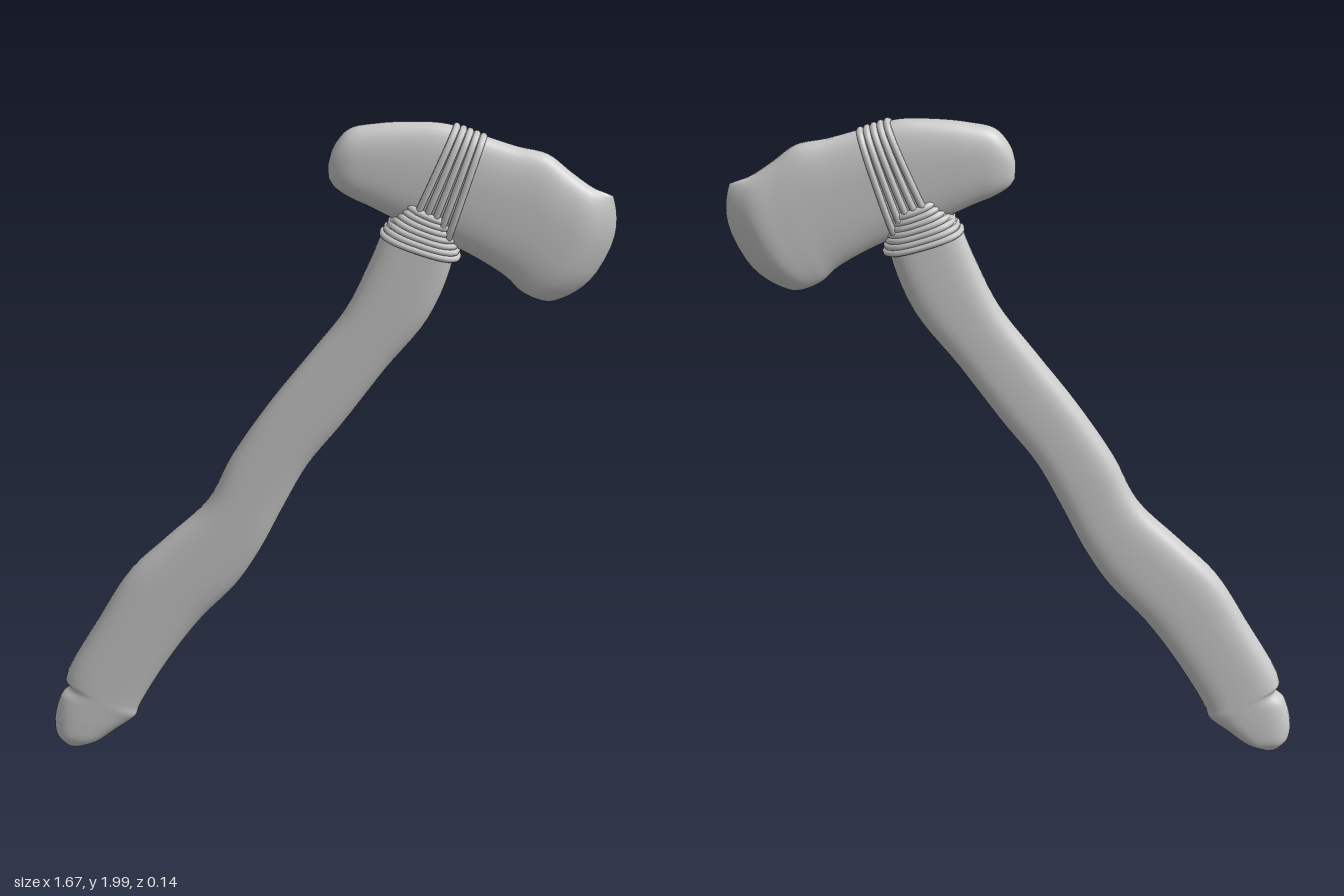
import * as THREE from 'three';

const material = new THREE.MeshStandardMaterial({ color: 0xcccccc, roughness: 0.8 });
const V = (x, y, z) => new THREE.Vector3(x, y, z);

// point on a rounded oval that spans a-b in the xy plane and +-depth in z
function ovalPoint(a, b, depth, bulge, power, angle) {
  const c = Math.cos(angle), s = Math.sin(angle);
  const soft = (v) => Math.sign(v) * Math.abs(v) ** (2 / power);
  const dx = b.x - a.x, dy = b.y - a.y, len = Math.hypot(dx, dy);
  const k = soft(c) / 2, push = (bulge * s * s) / len;
  return V((a.x + b.x) / 2 + dx * k - dy * push, (a.y + b.y) / 2 + dy * k + dx * push, depth * soft(s));
}

// smooth capped loft; each section is [ax, ay, bx, by, half depth, forward bulge]
function loft(name, sections, power, sides = 36, steps = 5) {
  const curveA = new THREE.CatmullRomCurve3(sections.map((s) => V(s[0], s[1], s[4])));
  const curveB = new THREE.CatmullRomCurve3(sections.map((s) => V(s[2], s[3], s[5] || 0)));
  const rows = (sections.length - 1) * steps;
  const pos = [], index = [];
  for (let r = 0; r <= rows; r++) {
    const a = curveA.getPoint(r / rows), b = curveB.getPoint(r / rows);
    for (let i = 0; i < sides; i++) {
      pos.push(...ovalPoint(a, b, a.z, b.z, power, (i / sides) * Math.PI * 2).toArray());
    }
  }
  for (let r = 0; r < rows; r++) {
    for (let i = 0; i < sides; i++) {
      const p = r * sides + i, q = r * sides + ((i + 1) % sides);
      index.push(p, p + sides, q, q, p + sides, q + sides);
    }
  }
  // end caps, bridged straight across between the front and back halves
  const last = rows * sides;
  for (let i = 0; i < sides / 2; i++) {
    const j = (sides - i) % sides, m = sides - i - 1;
    index.push(i, i + 1, j, j, i + 1, m);
    index.push(last + i, last + j, last + i + 1, last + j, last + m, last + i + 1);
  }
  const geometry = new THREE.BufferGeometry();
  geometry.setAttribute('position', new THREE.Float32BufferAttribute(pos, 3));
  geometry.setIndex(index);
  geometry.computeVertexNormals();
  const mesh = new THREE.Mesh(geometry, material);
  mesh.name = name;
  return mesh;
}

// band of parallel cords, going from the loop a0-b0 to the loop a1-b1
function binding(name, count, [a0, b0], [a1, b1], depth, radius) {
  const group = new THREE.Group();
  group.name = name;
  for (let n = 0; n < count; n++) {
    const t = n / (count - 1);
    const a = a0.clone().lerp(a1, t), b = b0.clone().lerp(b1, t);
    const points = [];
    for (let i = 0; i < 28; i++) points.push(ovalPoint(a, b, depth, 0, 2.5, (i / 28) * Math.PI * 2));
    const path = new THREE.CatmullRomCurve3(points, true);
    const cord = new THREE.Mesh(new THREE.TubeGeometry(path, 72, radius, 8, true), material);
    cord.name = 'cord';
    group.add(cord);
  }
  return group;
}

export function createModel() {
  const model = new THREE.Group();
  model.name = 'stoneAxe';

  // crooked wooden handle, from the butt upwards
  model.add(loft('handle', [
    [-0.795, 0.008, -0.75, 0.003, 0.04],
    [-0.822, 0.035, -0.70, 0.02, 0.054],
    [-0.83, 0.08, -0.645, 0.06, 0.057],
    [-0.812, 0.155, -0.605, 0.088, 0.057],
    [-0.785, 0.185, -0.588, 0.105, 0.057],
    [-0.798, 0.208, -0.58, 0.13, 0.057],
    [-0.70, 0.40, -0.50, 0.27, 0.057],
    [-0.61, 0.55, -0.40, 0.41, 0.057],
    [-0.50, 0.66, -0.29, 0.53, 0.057],
    [-0.38, 0.78, -0.22, 0.64, 0.057],
    [-0.31, 0.92, -0.15, 0.78, 0.057],
    [-0.20, 1.09, -0.08, 0.91, 0.057],
    [-0.08, 1.25, 0.02, 1.04, 0.057],
    [0.03, 1.40, 0.15, 1.22, 0.057],
    [0.10, 1.55, 0.28, 1.39, 0.057],
    [0.15, 1.67, 0.35, 1.57, 0.055],
    [0.21, 1.76, 0.36, 1.69, 0.05],
  ], 3));

  // stone head, from the blunt poll to the sharpened edge
  model.add(loft('head', [
    [-0.02, 1.86, -0.018, 1.81, 0.018],
    [-0.005, 1.91, 0.0, 1.785, 0.038],
    [0.04, 1.965, 0.045, 1.755, 0.052],
    [0.12, 1.985, 0.10, 1.73, 0.055],
    [0.22, 1.995, 0.18, 1.69, 0.055],
    [0.33, 1.993, 0.28, 1.645, 0.055],
    [0.44, 1.96, 0.38, 1.60, 0.055],
    [0.54, 1.93, 0.46, 1.555, 0.055],
    [0.63, 1.91, 0.51, 1.52, 0.055, 0.01],
    [0.70, 1.855, 0.55, 1.48, 0.055, 0.03],
    [0.76, 1.812, 0.595, 1.457, 0.05, 0.05],
    [0.80, 1.797, 0.63, 1.448, 0.024, 0.064],
    [0.825, 1.787, 0.65, 1.45, 0.002, 0.07],
  ], 2.5));

  // cords over the head, then cords round the neck of the handle
  model.add(binding('headBinding', 5,
    [V(0.36, 1.986, 0), V(0.225, 1.67, 0)],
    [V(0.44, 1.957, 0), V(0.33, 1.62, 0)], 0.061, 0.011));
  model.add(binding('neckBinding', 7,
    [V(0.215, 1.75, 0), V(0.345, 1.695, 0)],
    [V(0.142, 1.648, 0), V(0.362, 1.578, 0)], 0.06, 0.011));

  return model;
}
